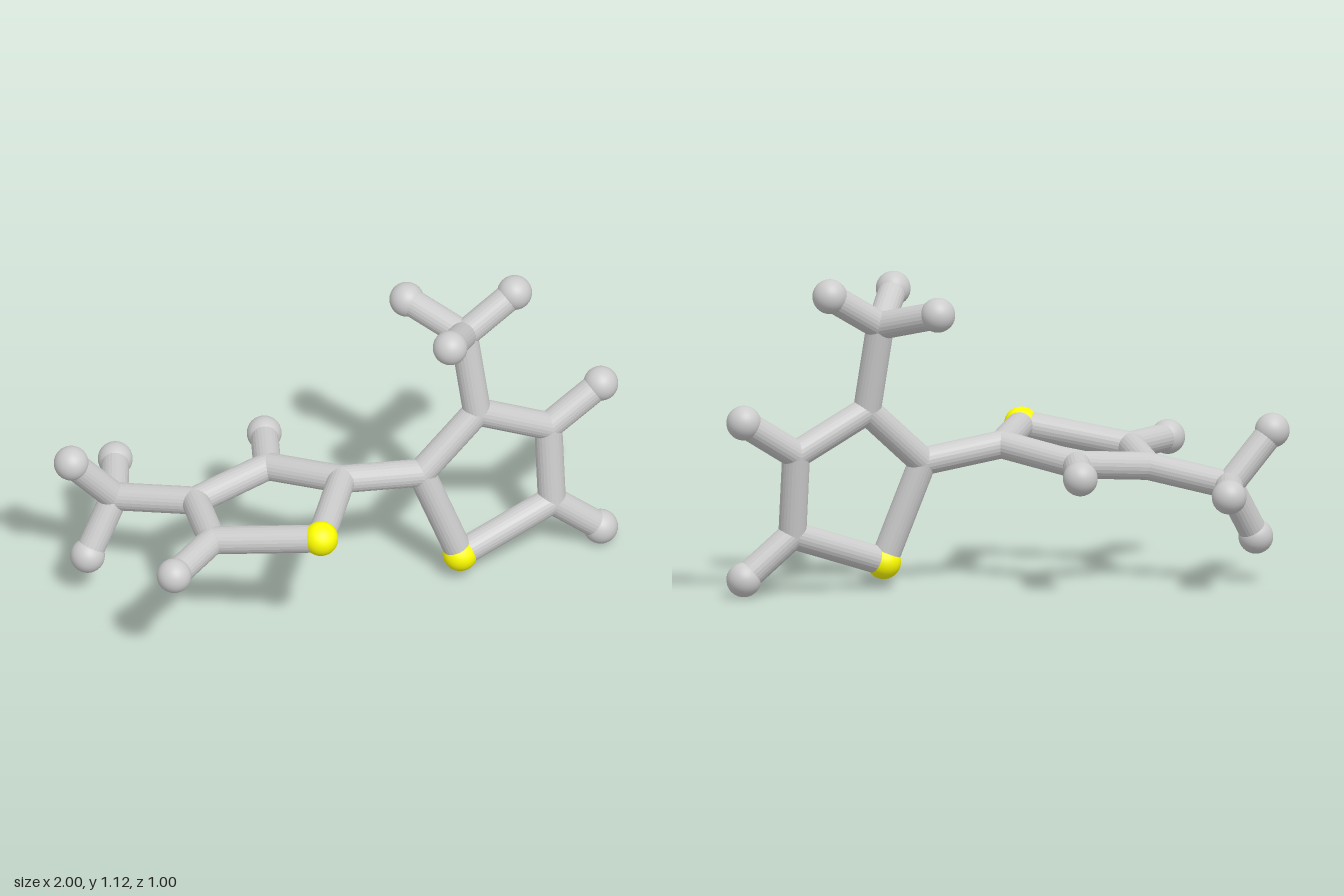
import * as THREE from 'three';

const BALL = 0.061, ROD = 0.049;

// Joint positions: two five-sided rings, each with a three-pronged branch
const rings = {
  right: {
    sulfur: [-0.226, 0.51, 0.438], inner: [-0.045, 0.495, 0.1], c3: [-0.25, 0.445, -0.117],
    c4: [-0.54, 0.415, -0.035], c5: [-0.565, 0.445, 0.25], branch: [-0.78, 0.362, -0.213],
    ringTips: { c3: [-0.195, 0.428, -0.333], c5: [-0.755, 0.445, 0.412] },
    branchTips: [[-0.942, 0.547, -0.202], [-0.895, 0.168, -0.16], [-0.708, 0.355, -0.437]],
    branchFrom: 'c4',
  },
  left: {
    sulfur: [0.382, 0.097, 0.12], inner: [0.25, 0.45, 0.085], c3: [0.465, 0.645, 0.052],
    c4: [0.735, 0.505, 0.022], c5: [0.735, 0.215, 0.065], branch: [0.432, 0.95, 0.003],
    ringTips: { c4: [0.935, 0.63, -0.002], c5: [0.913, 0.065, 0.066] },
    branchTips: [[0.628, 1.067, -0.03], [0.322, 1.05, 0.197], [0.28, 1.007, -0.182]],
    branchFrom: 'c3',
  },
};

export function createModel() {
  const model = new THREE.Group();
  const grey = new THREE.MeshStandardMaterial({ color: 0xcccccc });
  const rodGrey = new THREE.MeshStandardMaterial({ color: 0xcccccc, flatShading: true });
  const yellow = new THREE.MeshStandardMaterial({ color: 0xffff00 });
  const ballGeo = new THREE.SphereGeometry(BALL, 32, 20);
  const jointGeo = new THREE.SphereGeometry(ROD, 24, 16);
  const up = new THREE.Vector3(0, 1, 0);

  const ball = (parent, name, p, geo, material) => {
    const mesh = new THREE.Mesh(geo, material);
    mesh.name = name;
    mesh.position.set(...p);
    parent.add(mesh);
  };
  // Open rod between two points; its ends are hidden inside the balls and joints
  const rod = (parent, name, p, q) => {
    const a = new THREE.Vector3(...p), b = new THREE.Vector3(...q);
    const dir = b.clone().sub(a);
    const mesh = new THREE.Mesh(new THREE.CylinderGeometry(ROD, ROD, dir.length(), 24, 1, true), rodGrey);
    mesh.name = name;
    mesh.position.copy(a).add(b).multiplyScalar(0.5);
    mesh.quaternion.setFromUnitVectors(up, dir.normalize());
    parent.add(mesh);
  };

  for (const [side, r] of Object.entries(rings)) {
    const group = new THREE.Group();
    group.name = side + 'Ring';
    model.add(group);

    // Closed ring with one yellow corner
    const loop = ['sulfur', 'inner', 'c3', 'c4', 'c5'];
    loop.forEach((key, i) => {
      rod(group, 'ringRod', r[key], r[loop[(i + 1) % 5]]);
      if (key === 'sulfur') ball(group, 'yellowBall', r[key], ballGeo, yellow);
      else ball(group, 'ringJoint', r[key], jointGeo, grey);
    });

    // Single tips on the ring
    for (const [key, tip] of Object.entries(r.ringTips)) {
      rod(group, 'tipRod', r[key], tip);
      ball(group, 'tipBall', tip, ballGeo, grey);
    }

    // Three-pronged branch
    rod(group, 'branchRod', r[r.branchFrom], r.branch);
    ball(group, 'branchJoint', r.branch, jointGeo, grey);
    for (const tip of r.branchTips) {
      rod(group, 'prongRod', r.branch, tip);
      ball(group, 'prongBall', tip, ballGeo, grey);
    }
  }

  // Link between the two rings
  rod(model, 'linkRod', rings.right.inner, rings.left.inner);
  return model;
}
